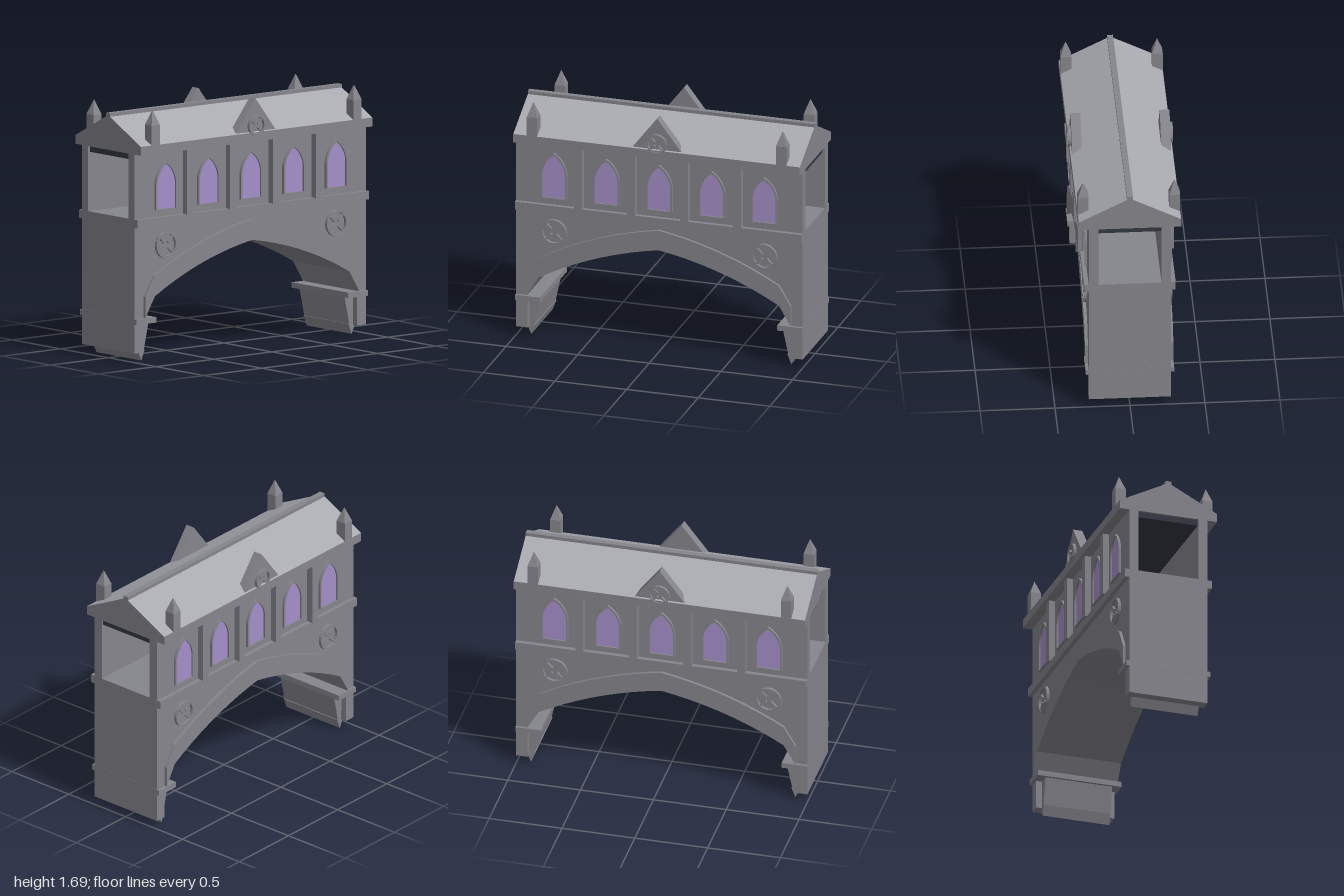
import * as THREE from 'three';

const mat = (name, color) => {
  const m = new THREE.MeshStandardMaterial({ color });
  m.name = name;
  return m;
};

export function createModel() {
  const stone = mat('stone', 0x85858c);
  const roofSlate = mat('pale roof', 0xa8aab0);
  const glass = mat('violet glass', 0xa58fc9);
  const dark = mat('dark ceiling', 0x343743);
  const model = new THREE.Group();
  model.name = 'coveredBridge';

  const add = (parent, name, geo, material, x = 0, y = 0, z = 0) => {
    const m = new THREE.Mesh(geo, material);
    m.name = name;
    m.position.set(x, y, z);
    parent.add(m);
    return m;
  };
  // box given by its limits
  const box = (parent, name, x0, x1, y0, y1, z0, z1, material = stone) =>
    add(parent, name, new THREE.BoxGeometry(x1 - x0, y1 - y0, z1 - z0), material,
      (x0 + x1) / 2, (y0 + y1) / 2, (z0 + z1) / 2);
  const poly = pts => new THREE.Shape(pts.map(p => new THREE.Vector2(p[0], p[1])));
  // flat shape extruded from z0 to z1
  const slab = (shape, z0, z1) =>
    new THREE.ExtrudeGeometry(shape, { depth: z1 - z0, bevelEnabled: false, curveSegments: 10 }).translate(0, 0, z0);
  const mirrorX = pts => pts.map(([x, y]) => [-x, y]).reverse();

  // half arch from foot to apex, raised by dy
  const halfArch = dy => {
    const curve = new THREE.QuadraticBezierCurve(
      new THREE.Vector2(0.84, 0.433 + dy), new THREE.Vector2(0.45, 0.655 + dy), new THREE.Vector2(0, 0.73 + dy));
    return [[0.922, 0.295 + dy], ...curve.getPoints(9).map(p => [p.x, p.y])];
  };
  const fullArch = dy => {
    const half = halfArch(dy);
    return [...half, ...mirrorX(half).slice(1)];
  };

  // bridge body with the arch opening
  add(model, 'bridgeBody', slab(poly([
    [0.92, 0.06], ...fullArch(0.07), [-0.92, 0.06], [-1, 0.06], [-1, 0.96], [1, 0.96], [1, 0.06],
  ]), -0.275, 0.275), stone);
  // projecting arch band, running through as the soffit
  add(model, 'archBand', slab(poly([...fullArch(0), ...fullArch(0.14).reverse()]), -0.295, 0.295), stone);

  // corbels under the arch feet
  for (const s of [-1, 1]) {
    const side = pts => poly(pts.map(([x, y]) => [x * s, y]));
    box(model, 'corbelLedge', s > 0 ? 0.828 : -1.001, s > 0 ? 1.001 : -0.828, 0.255, 0.292, -0.295, 0.295);
    add(model, 'corbelWedge', slab(side([[0.93, 0.26], [0.845, 0.26], [0.887, 0.065], [0.93, 0.065]]), -0.235, 0.235), stone);
    add(model, 'corbelDrop', slab(side([[0.88, 0.07], [0.94, 0.07], [0.907, 0]]), -0.235, 0.235), stone);
  }

  // string course, eaves, ceiling
  box(model, 'stringCourse', -1, 1, 0.905, 0.962, -0.305, 0.305);
  box(model, 'eaves', -1, 1, 1.4, 1.46, -0.342, 0.342);
  box(model, 'ceiling', -0.985, 0.985, 1.36, 1.402, -0.212, 0.212, dark);

  // roof with stone gable ends and a ridge cap
  const roof = slab(poly([[-0.342, 1.459], [0.342, 1.459], [0, 1.635]]), -1, 1).rotateY(Math.PI / 2);
  add(model, 'roof', roof, [stone, roofSlate]);
  box(model, 'ridgeCap', -1, 1, 1.615, 1.648, -0.02, 0.02);

  // pointed window outline
  const lancet = (w, y0, spring, apex, Type = THREE.Shape) => {
    const s = new Type();
    s.moveTo(-w, y0);
    s.lineTo(w, y0);
    s.lineTo(w, spring);
    s.quadraticCurveTo(w * 0.85, spring + (apex - spring) * 0.65, 0, apex);
    s.quadraticCurveTo(-w * 0.85, spring + (apex - spring) * 0.65, -w, spring);
    s.lineTo(-w, y0);
    return s;
  };
  const frameShape = lancet(0.093, 1.01, 1.19, 1.335);
  frameShape.holes.push(lancet(0.08, 1.013, 1.19, 1.318, THREE.Path));
  const frameGeo = slab(frameShape, 0.27, 0.292);
  const paneGeo = slab(lancet(0.083, 1.012, 1.19, 1.322), 0.274, 0.28);

  // round ornament: rim with four diagonal bars
  const rosette = (parent, name, x, y, z, r) => {
    const g = new THREE.Group();
    g.name = name;
    g.position.set(x, y, z);
    const rim = new THREE.Shape().absarc(0, 0, r, 0, Math.PI * 2);
    rim.holes.push(new THREE.Path().absarc(0, 0, r * 0.84, 0, Math.PI * 2, true));
    add(g, 'rosetteRim', slab(rim, -0.005, 0.02), stone);
    for (let i = 0; i < 4; i++) {
      const a = Math.PI / 4 + i * Math.PI / 2;
      const bar = add(g, 'rosetteBar', new THREE.BoxGeometry(r * 0.62, r * 0.16, 0.02), stone,
        Math.cos(a) * r * 0.55, Math.sin(a) * r * 0.55, 0.006);
      bar.rotation.z = a;
    }
    parent.add(g);
  };

  // both long sides alike
  for (const [name, turn] of [['frontSide', 0], ['backSide', Math.PI]]) {
    const side = new THREE.Group();
    side.name = name;
    side.rotation.y = turn;
    model.add(side);

    box(side, 'galleryWall', -1, 1, 0.955, 1.405, 0.21, 0.275);
    for (const x of [-0.735, -0.368, 0, 0.368, 0.735]) {
      add(side, 'windowFrame', frameGeo, stone, x);
      add(side, 'windowPane', paneGeo, glass, x);
    }
    for (const x of [-0.555, -0.185, 0.185, 0.555]) {
      box(side, 'pilaster', x - 0.027, x + 0.027, 0.96, 1.402, 0.27, 0.32);
    }
    for (const x of [-0.735, 0.735]) rosette(side, 'spandrelRosette', x, 0.768, 0.275, 0.09);

    // small centre gable
    add(side, 'centreGable', slab(poly([[-0.178, 1.455], [0.178, 1.455], [0, 1.685]]), 0.265, 0.33), stone);
    rosette(side, 'gableRosette', 0, 1.505, 0.33, 0.07);

    // corner pinnacles
    for (const x of [-0.87, 0.87]) {
      box(side, 'pinnacleShaft', x - 0.036, x + 0.036, 1.44, 1.592, 0.269, 0.341);
      const tip = new THREE.ConeGeometry(0.036 * Math.SQRT2, 0.1, 4, 1).rotateY(Math.PI / 4).toNonIndexed();
      tip.computeVertexNormals();
      add(side, 'pinnacleTip', tip, stone, x, 1.642, 0.305);
    }
  }
  return model;
}
